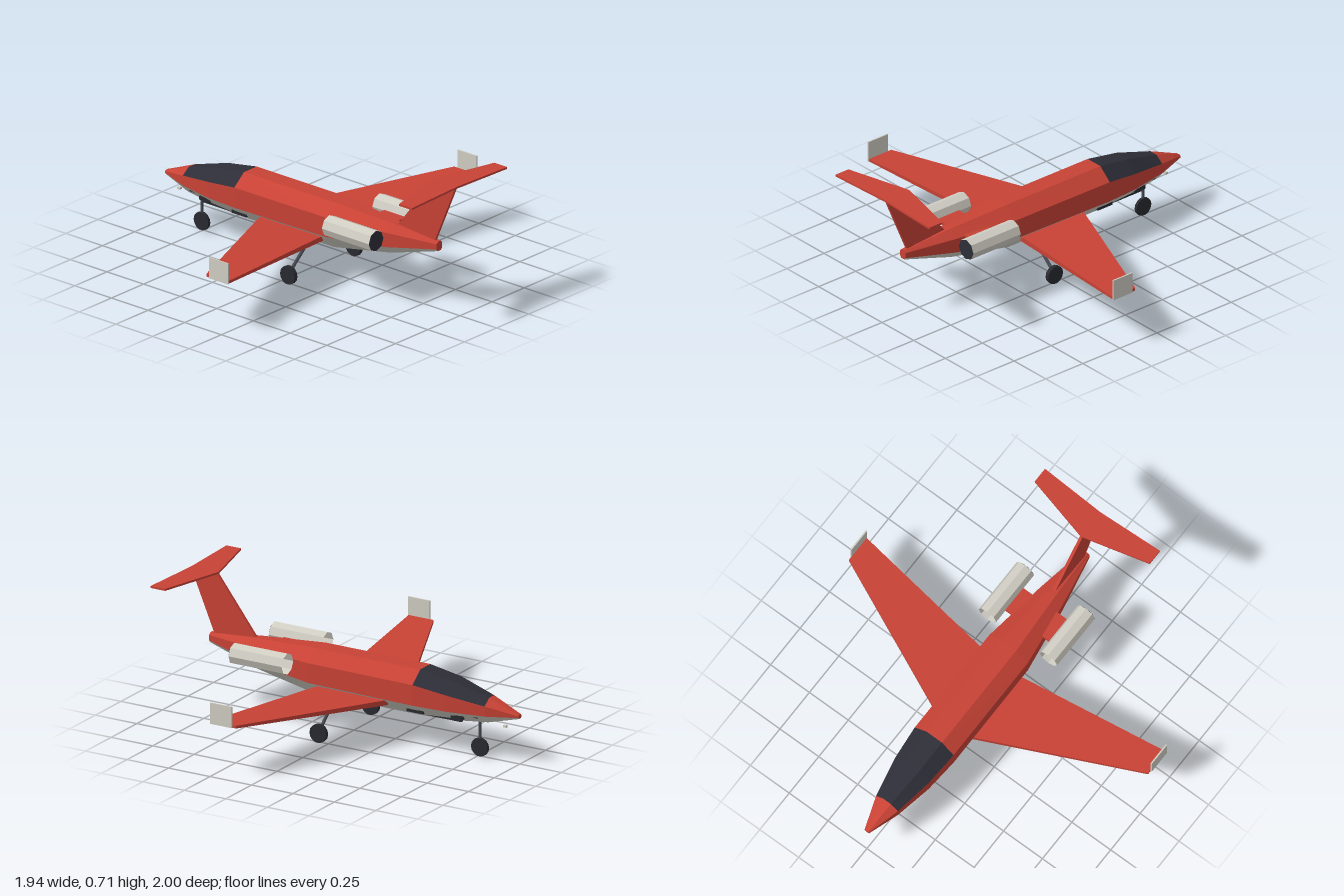
import * as THREE from 'three';
import { ConvexGeometry } from 'three/addons/geometries/ConvexGeometry.js';

const mat = (name, color, extra = {}) => {
  const m = new THREE.MeshStandardMaterial({ color, flatShading: true, ...extra });
  m.name = name;
  return m;
};

export function createModel() {
  const model = new THREE.Group();
  model.name = 'businessJet';
  const red = mat('red paint', 0xc84235);
  const light = mat('light grey paint', 0xd0cdc3, { side: THREE.DoubleSide });
  const glass = mat('dark glass', 0x2d2e37);
  const black = mat('black rubber', 0x292a31);
  const metal = mat('dark metal', 0x484a52);

  const add = (name, geometry, material, x = 0, y = 0, z = 0) => {
    const mesh = new THREE.Mesh(geometry, material);
    mesh.name = name;
    mesh.position.set(x, y, z);
    model.add(mesh);
    return mesh;
  };
  const box = (name, w, h, d, material, x, y, z) =>
    add(name, new THREE.BoxGeometry(w, h, d), material, x, y, z);
  const hull = (name, points, material) =>
    add(name, new ConvexGeometry(points.map(p => new THREE.Vector3(...p))), material);
  const rod = (name, from, to, r) => {
    const a = new THREE.Vector3(...from), b = new THREE.Vector3(...to);
    const dir = b.clone().sub(a);
    const mesh = add(name, new THREE.CylinderGeometry(r, r, dir.length(), 8), metal);
    mesh.position.copy(a).add(b).multiplyScalar(0.5);
    mesh.quaternion.setFromUnitVectors(new THREE.Vector3(0, 1, 0), dir.normalize());
  };

  // Fuselage: eight-sided sections, nose to tail
  // z, half widths (top, side, bottom), heights (top, upper side, lower side, bottom)
  const sections = [
    [-1.0, 0.01, 0.015, 0.008, 0.27, 0.264, 0.255, 0.248],
    [-0.83, 0.025, 0.07, 0.035, 0.337, 0.303, 0.248, 0.207],
    [-0.62, 0.045, 0.11, 0.055, 0.395, 0.337, 0.248, 0.188],
    [-0.43, 0.05, 0.125, 0.065, 0.425, 0.362, 0.25, 0.185],
    [0.2, 0.05, 0.125, 0.065, 0.425, 0.365, 0.258, 0.185],
    [0.56, 0.025, 0.075, 0.035, 0.403, 0.365, 0.285, 0.242],
    [0.86, 0.01, 0.022, 0.012, 0.377, 0.366, 0.337, 0.325],
  ];
  const rings = sections.map(([z, t, s, b, yt, yu, yl, yb]) => [
    [t, yt, z], [-t, yt, z], [-s, yu, z], [-s, yl, z],
    [-b, yb, z], [b, yb, z], [s, yl, z], [s, yu, z],
  ]);
  const skin = { upper: [], belly: [], windscreen: [] };
  for (let i = 0; i < rings.length - 1; i++) {
    for (let j = 0; j < 8; j++) {
      const k = (j + 1) % 8;
      const a = rings[i][j], b = rings[i][k], c = rings[i + 1][k], d = rings[i + 1][j];
      const isGlass = (i === 1 || i === 2) && [0, 1, 7].includes(j);
      const part = isGlass ? 'windscreen' : j >= 3 && j <= 5 ? 'belly' : 'upper';
      skin[part].push(...a, ...b, ...c, ...a, ...c, ...d);
    }
  }
  // Nose and tail caps
  const nose = rings[0], tail = rings[rings.length - 1];
  for (let j = 1; j < 7; j++) {
    skin.upper.push(...nose[0], ...nose[j + 1], ...nose[j]);
    skin.upper.push(...tail[0], ...tail[j], ...tail[j + 1]);
  }
  const skinMaterials = { upper: red, belly: light, windscreen: glass };
  for (const part in skin) {
    const g = new THREE.BufferGeometry();
    g.setAttribute('position', new THREE.Float32BufferAttribute(skin[part], 3));
    g.computeVertexNormals();
    add(part === 'windscreen' ? part : part + 'Fuselage', g, skinMaterials[part]);
  }

  // Tail fin
  const fin = [];
  for (const x of [-0.008, 0.008]) {
    fin.push([x, 0.385, 0.575], [x, 0.35, 0.825], [x, 0.703, 0.82], [x, 0.703, 0.975]);
  }
  hull('tailFin', fin, red);

  for (const s of [1, -1]) {
    const side = s > 0 ? 'left' : 'right';

    // Swept wing with upright tip plate
    hull(side + 'Wing', [
      [s * 0.1, 0.217, -0.268], [s * 0.1, 0.245, -0.268],
      [s * 0.1, 0.217, 0.152], [s * 0.1, 0.245, 0.152],
      [s * 0.963, 0.276, 0.115], [s * 0.963, 0.291, 0.115],
      [s * 0.963, 0.276, 0.265], [s * 0.963, 0.291, 0.265],
    ], red);
    box(side + 'Winglet', 0.008, 0.115, 0.13, light, s * 0.966, 0.333, 0.203);

    // Half of the tailplane
    const plane = [];
    for (const y of [0.7, 0.711]) {
      plane.push([0, y, 0.815], [0, y, 0.98], [s * 0.37, y, 0.91], [s * 0.37, y, 0.997]);
    }
    hull(side + 'Tailplane', plane, red);

    // Engine: open eight-sided tube with a dark exhaust, on a short pylon
    const tube = new THREE.CylinderGeometry(0.057, 0.057, 0.32, 8, 1, true).rotateX(Math.PI / 2);
    add(side + 'Engine', tube, light, s * 0.196, 0.367, 0.44);
    const cap = new THREE.CylinderGeometry(0.056, 0.056, 0.008, 8).rotateX(Math.PI / 2);
    add(side + 'Exhaust', cap, glass, s * 0.196, 0.367, 0.597);
    box(side + 'Pylon', 0.08, 0.016, 0.15, red, s * 0.105, 0.363, 0.435);

    // Main landing gear
    rod(side + 'MainStrut', [s * 0.255, 0.055, 0.055], [s * 0.075, 0.215, 0.055], 0.009);
    const wheel = new THREE.CylinderGeometry(0.05, 0.05, 0.022, 14).rotateZ(Math.PI / 2);
    add(side + 'MainWheel', wheel, black, s * 0.254, 0.05, 0.055);

    // Dark fittings along the lower nose
    box(side + 'BellyRail', 0.014, 0.01, 0.32, black, s * 0.062, 0.197, -0.53);
    box(side + 'RearFitting', 0.02, 0.018, 0.1, black, s * 0.085, 0.211, -0.425);
    box(side + 'FrontFitting', 0.03, 0.02, 0.07, black, s * 0.07, 0.219, -0.67);
    box(side + 'NoseFitting', 0.02, 0.01, 0.04, black, s * 0.058, 0.234, -0.765);
  }

  // Nose landing gear and probe
  rod('noseStrut', [0, 0.05, -0.76], [0, 0.22, -0.76], 0.008);
  const noseWheel = new THREE.CylinderGeometry(0.05, 0.05, 0.016, 14).rotateZ(Math.PI / 2);
  add('noseWheel', noseWheel, black, 0, 0.05, -0.76);
  box('noseProbe', 0.016, 0.012, 0.018, light, 0, 0.191, -0.913);

  return model;
}
